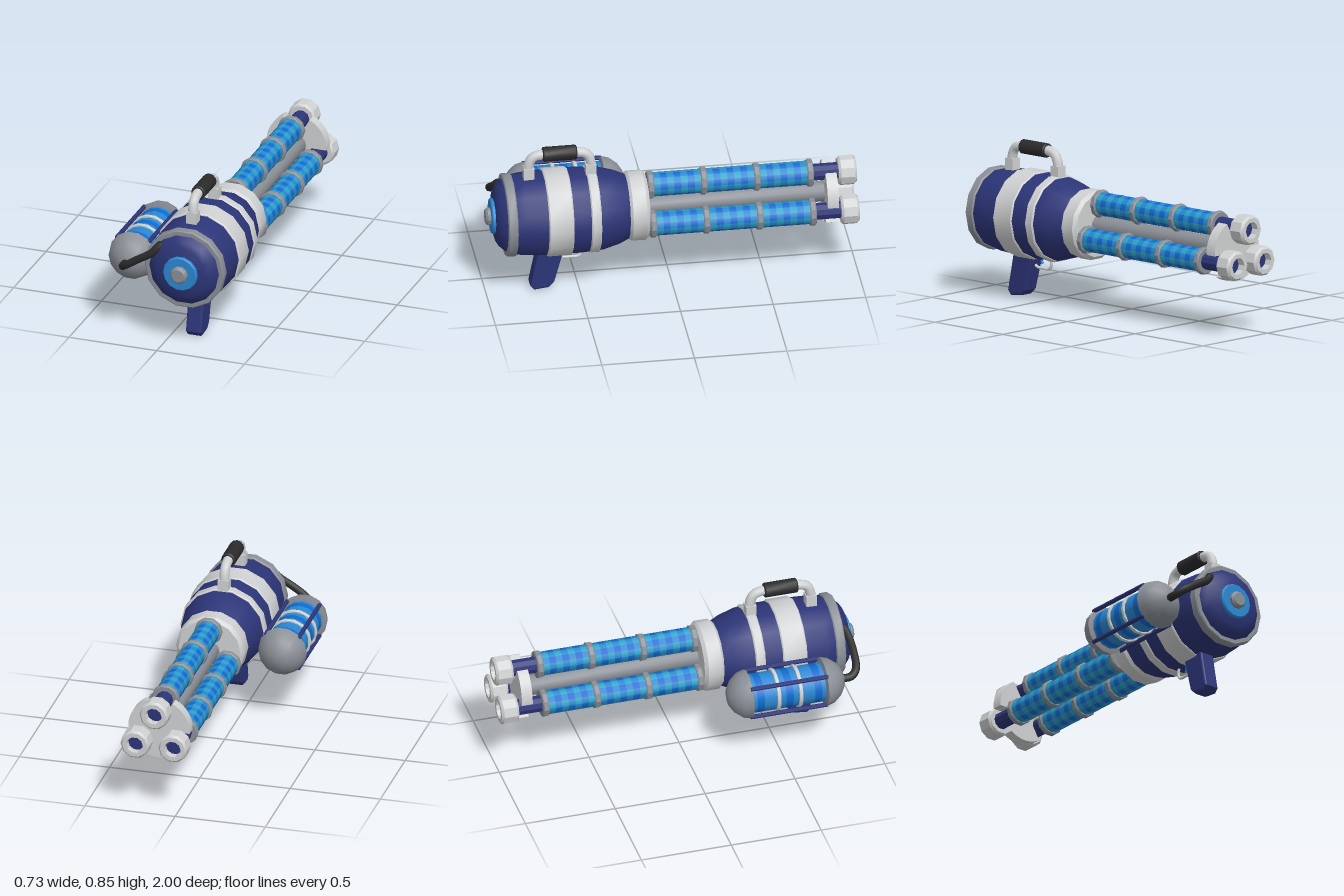
import * as THREE from 'three';
import { toCreasedNormals } from 'three/addons/utils/BufferGeometryUtils.js';

const mat = (name, color) => Object.assign(new THREE.MeshStandardMaterial({ color }), { name });
const navy = mat('navy', 0x2c3578), white = mat('offWhite', 0xd0d1d2), grey = mat('grey', 0x8b9097);
const black = mat('black', 0x2b2b2b), blue = mat('blue', 0x2a88d2), teal = mat('teal', 0x2ba6ca);
const deep = mat('deepBlue', 0x0e6bd0);

const CX = 0.12, CY = 0.455;

export function createModel() {
  const root = new THREE.Group();
  const add = (name, geo, material, x = 0, y = 0, z = 0, parent = root) => {
    const m = new THREE.Mesh(geo, material);
    m.name = name;
    m.position.set(x, y, z);
    parent.add(m);
    return m;
  };
  // Turned part along z from [radius, z] points, listed with z increasing
  const turned = (pts, sides = 14) => {
    const g = new THREE.LatheGeometry(pts.map(p => new THREE.Vector2(...p)), sides, Math.PI / 2);
    return toCreasedNormals(g.rotateX(Math.PI / 2), 0.6);
  };
  // Closed ring or disc with small bevels
  const disc = (r, z0, z1, bevel = 0.006, sides = 14) => turned([[0, z0], [r - bevel, z0],
    [r, z0 + bevel], [r, z1 - bevel], [r - bevel, z1], [0, z1]], sides);
  const tube = (pts, r, n = 28, sides = 8) => new THREE.TubeGeometry(
    new THREE.CatmullRomCurve3(pts.map(p => new THREE.Vector3(...p)), false, 'centripetal'), n, r, sides);
  // Checked sleeve: colour chosen per face from row and column
  const sleeve = (r, z0, z1, sides, rows, pick) => {
    const g = new THREE.CylinderGeometry(r, r, z1 - z0, sides, rows, true);
    g.rotateX(Math.PI / 2).translate(0, 0, (z0 + z1) / 2);
    g.clearGroups();
    for (let c = 0; c < sides; c++) for (let k = 0; k < rows; k++)
      g.addGroup((c * rows + k) * 6, 6, pick(c, k));
    return g;
  };

  // Barrel-shaped body and its bands
  const body = new THREE.Group();
  body.name = 'body';
  body.position.set(CX, CY, 0);
  root.add(body);
  const onBody = (name, geo, m) => add(name, geo, m, 0, 0, 0, body);
  onBody('shell', turned([[0, 0.23], [0.175, 0.235], [0.2, 0.29], [0.225, 0.38], [0.233, 0.5], [0.233, 0.65],
    [0.225, 0.8], [0.212, 0.88], [0.2, 0.9], [0.17, 0.932], [0.14, 0.95], [0, 0.96]]), navy);
  onBody('wideBand', disc(0.241, 0.55, 0.685), white);
  onBody('narrowBand', disc(0.236, 0.4, 0.455), white);
  onBody('rearBand', disc(0.226, 0.85, 0.902), grey);
  onBody('rearDisc', disc(0.097, 0.94, 0.972), blue);
  onBody('rearKnob', disc(0.048, 0.96, 1.0, 0.012, 10), grey);
  onBody('frontCollar', disc(0.19, 0.13, 0.242, 0.018), white);
  onBody('centreShaft', disc(0.055, -0.85, 0.15, 0.002, 12), grey);

  // Three barrels around the shaft
  for (let i = 0; i < 3; i++) {
    const a = Math.PI / 2 + i * Math.PI * 2 / 3;
    const barrel = new THREE.Group();
    barrel.name = 'barrel' + (i + 1);
    barrel.position.set(CX + 0.121 * Math.cos(a), CY + 0.121 * Math.sin(a), 0);
    root.add(barrel);
    const put = (name, geo, m) => add(name, geo, m, 0, 0, 0, barrel);
    put('core', disc(0.046, -0.96, 0.14, 0.002, 10), navy);
    for (let k = 0; k < 4; k++) {
      const z = 0.11 - k * 0.287;
      put('ring', disc(0.076, z - 0.017, z + 0.017, 0.006, 10), grey);
      if (k < 3) put('sleeve', sleeve(0.065, z - 0.272, z - 0.015, 12, 7,
        (c, r) => c % 2 + r % 2), [teal, blue, deep]);
    }
    put('muzzle', turned([[0.046, -0.955], [0.046, -1], [0.07, -1], [0.081, -0.988],
      [0.081, -0.915], [0.07, -0.903], [0.04, -0.903]], 10), white);
  }

  // Brace plate: a disc notched around each barrel
  const plate = new THREE.Shape();
  for (let i = 0; i < 96; i++) {
    const t = i * Math.PI / 48, third = Math.PI * 2 / 3;
    const d = ((t - Math.PI / 2 + third * 4.5) % third) - third / 2;
    const q = 0.052 ** 2 - (0.121 * Math.sin(d)) ** 2;
    const r = q > 0 ? 0.121 * Math.cos(d) - Math.sqrt(q) : 0.17;
    plate[i ? 'lineTo' : 'moveTo'](r * Math.cos(t), r * Math.sin(t));
  }
  add('bracePlate', new THREE.ExtrudeGeometry(plate, { depth: 0.06, bevelEnabled: false }), white, CX, CY, -0.888);

  // Carry handle
  add('carryHandle', tube([[CX, 0.67, 0.765], [CX, 0.75, 0.765], [CX, 0.795, 0.745], [CX, 0.812, 0.7],
    [CX, 0.812, 0.6], [CX, 0.812, 0.495], [CX, 0.795, 0.45], [CX, 0.75, 0.43], [CX, 0.67, 0.43]], 0.027, 36, 10), white);
  for (const z of [0.765, 0.43])
    add('handleSocket', new THREE.BoxGeometry(0.058, 0.08, 0.058), white, CX, 0.7, z);
  add('handleGrip', disc(0.04, 0.505, 0.69, 0.006, 12), black, CX, 0.812, 0);

  // Pistol grip: side outline extruded across x
  const side = new THREE.Shape([[-0.73, 0.28], [-0.75, 0.03], [-0.735, 0.012], [-0.665, 0.02],
    [-0.64, 0.045], [-0.575, 0.28]].map(p => new THREE.Vector2(...p)));
  // Lean the back edge towards the rear
  side.curves[0].v1.set(-0.7, 0.28);
  const grip = new THREE.ExtrudeGeometry(side, { depth: 0.066, bevelThickness: 0.012, bevelSize: 0.01, bevelSegments: 2 });
  add('pistolGrip', grip.translate(0, 0, -0.033).rotateY(Math.PI / 2), navy, CX, 0, 0);

  // Trigger and guard
  add('triggerGuard', tube([[CX, 0.23, 0.48], [CX, 0.19, 0.478], [CX, 0.17, 0.495], [CX, 0.168, 0.54],
    [CX, 0.17, 0.58], [CX, 0.19, 0.61]], 0.008), white);
  add('trigger', tube([[CX, 0.24, 0.54], [CX, 0.21, 0.55], [CX, 0.19, 0.54]], 0.008, 8, 6), blue);

  // Side tank
  const tank = new THREE.Group();
  tank.name = 'tank';
  tank.position.set(-0.235, 0.413, 0);
  root.add(tank);
  const onTank = (name, geo, m) => add(name, geo, m, 0, 0, 0, tank);
  onTank('glass', sleeve(0.107, 0.3, 0.74, 14, 11, (c, r) => r % 4 === 1 ? 1 : 0), [blue, deep]);
  const dome = [[0, 0.195], [0.05, 0.205], [0.092, 0.232], [0.122, 0.27], [0.134, 0.315], [0.1, 0.325], [0, 0.325]];
  onTank('frontDome', turned(dome), grey);
  onTank('rearDome', turned(dome.map(([r, z]) => [r, 1.045 - z]).reverse()), grey);
  for (const z of [0.46, 0.582]) onTank('tankRing', disc(0.118, z - 0.01, z + 0.01, 0.003), white);
  for (const x of [-0.09, 0.09]) for (const y of [-0.09, 0.09])
    add('tankRod', disc(0.012, 0.305, 0.735, 0.002, 8), navy, x, y, 0, tank);

  // Hose from the tank to the body
  add('hose', tube([[-0.235, 0.413, 0.83], [-0.235, 0.415, 0.89], [-0.205, 0.44, 0.925], [-0.13, 0.49, 0.935],
    [-0.05, 0.54, 0.93], [-0.015, 0.58, 0.91], [0.01, 0.58, 0.87]], 0.022), black);
  return root;
}
